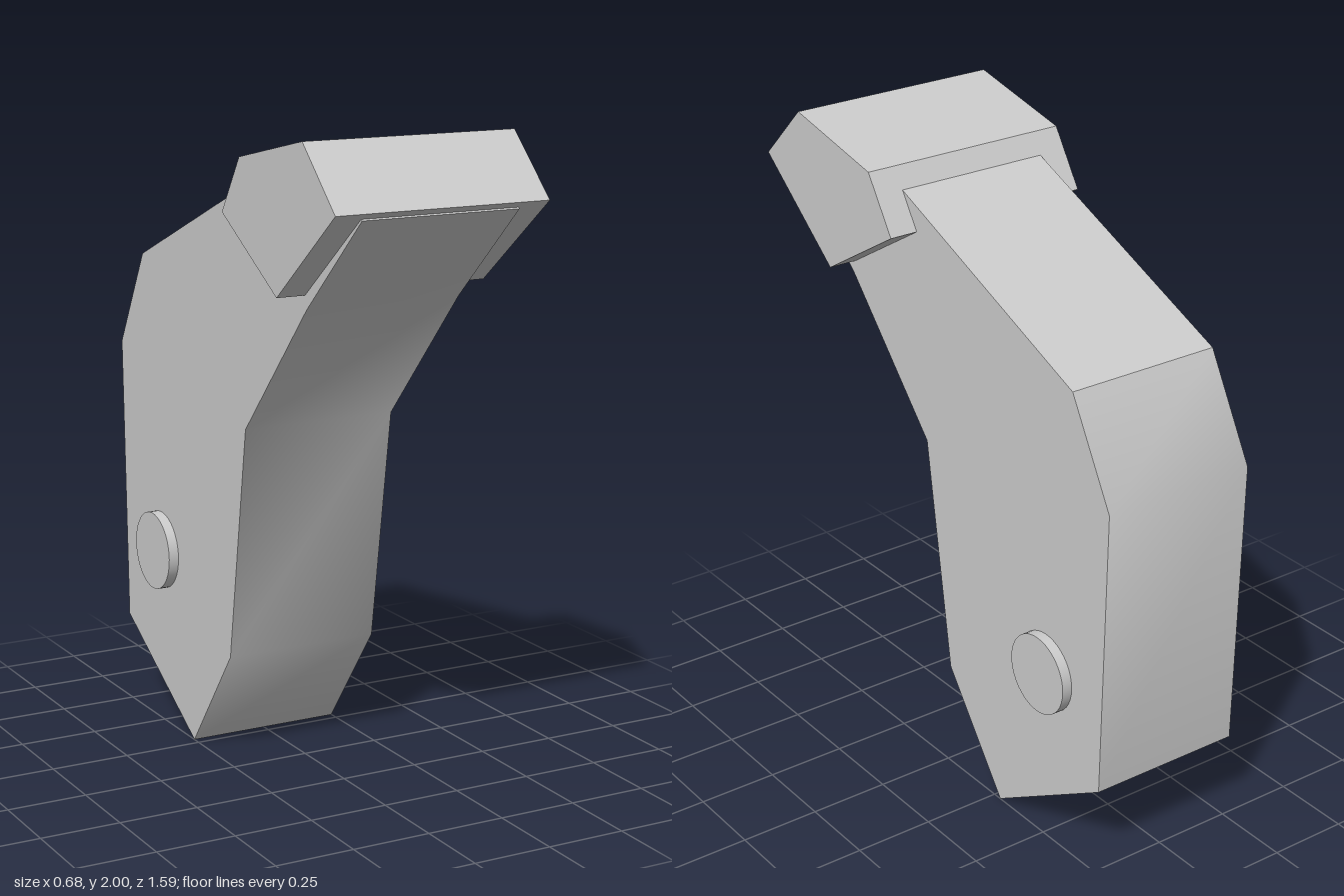
import * as THREE from 'three';
import { toCreasedNormals } from 'three/addons/utils/BufferGeometryUtils.js';

const material = new THREE.MeshStandardMaterial({ color: 0xcccccc });

// Side profile given as [z, y] corners, extruded across x and centred
function slab(name, profile, width) {
  const shape = new THREE.Shape(profile.map(([z, y]) => new THREE.Vector2(z, y)));
  const extruded = new THREE.ExtrudeGeometry(shape, { depth: width, bevelEnabled: false });
  extruded.translate(0, 0, -width / 2).rotateY(-Math.PI / 2);
  // Gentle bends stay smooth, strong corners stay sharp
  const mesh = new THREE.Mesh(toCreasedNormals(extruded, THREE.MathUtils.degToRad(36)), material);
  mesh.name = name;
  return mesh;
}

export function createModel() {
  const group = new THREE.Group();
  group.name = 'hammer';

  // Curved lever body, its upper end running into the thumb pad
  group.add(slab('leverBody', [
    [-0.28, 0], [-0.02, 0.35], [0.09, 1.09], [0.47, 1.51], [0.78, 1.8],
    [0.6, 1.93], [0.2, 1.86], [-0.62, 1.52], [-0.79, 1.21], [-0.765, 0.29],
  ], 0.5));

  // Wider pad on the tip
  group.add(slab('thumbPad', [
    [0.46, 1.55], [0.795, 1.82], [0.61, 2], [0.235, 1.92], [0.125, 1.75],
  ], 0.68));

  // Pivot pin passing through the body
  const pin = new THREE.Mesh(new THREE.CylinderGeometry(0.125, 0.125, 0.565, 40), material);
  pin.name = 'pivotPin';
  pin.rotation.z = Math.PI / 2;
  pin.position.set(0, 0.575, -0.507);
  group.add(pin);

  return group;
}
